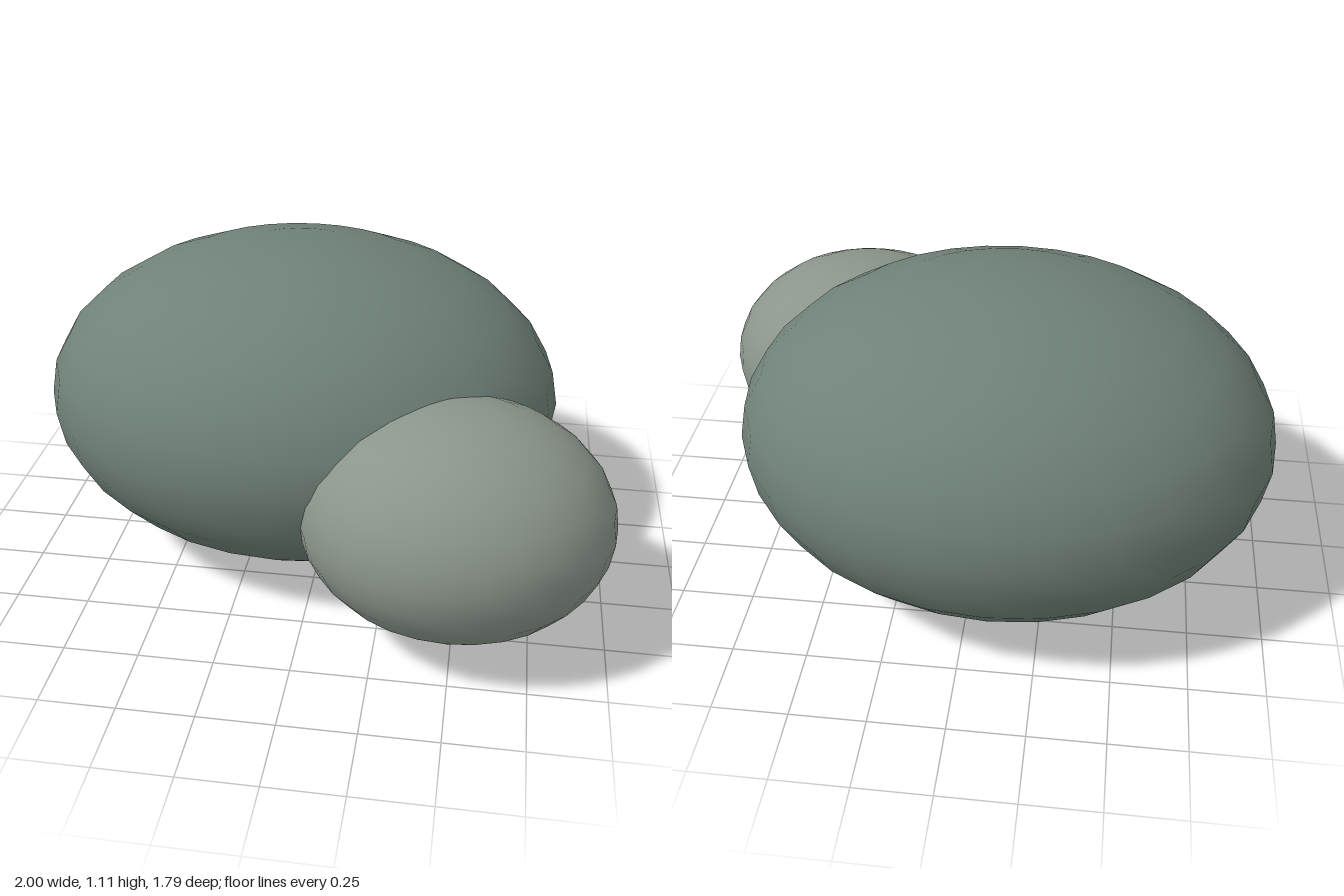
import * as THREE from 'three';

// Smooth sphere stretched to the given centre and radii
function boulder(name, color, centre, radii) {
  const mesh = new THREE.Mesh(
    new THREE.SphereGeometry(1, 28, 14),
    new THREE.MeshStandardMaterial({ color })
  );
  mesh.name = name;
  mesh.position.set(...centre);
  mesh.scale.set(...radii);
  return mesh;
}

export function createModel() {
  const group = new THREE.Group();
  group.name = 'boulders';
  // Large flattened boulder at the back
  group.add(boulder('largeBoulder', 0x6f8178, [-0.098, 0.555, -0.14], [0.902, 0.555, 0.756]));
  // Small boulder leaning into its front left side
  group.add(boulder('smallBoulder', 0x8b958b, [0.49, 0.441, 0.443], [0.508, 0.376, 0.453]));
  return group;
}
